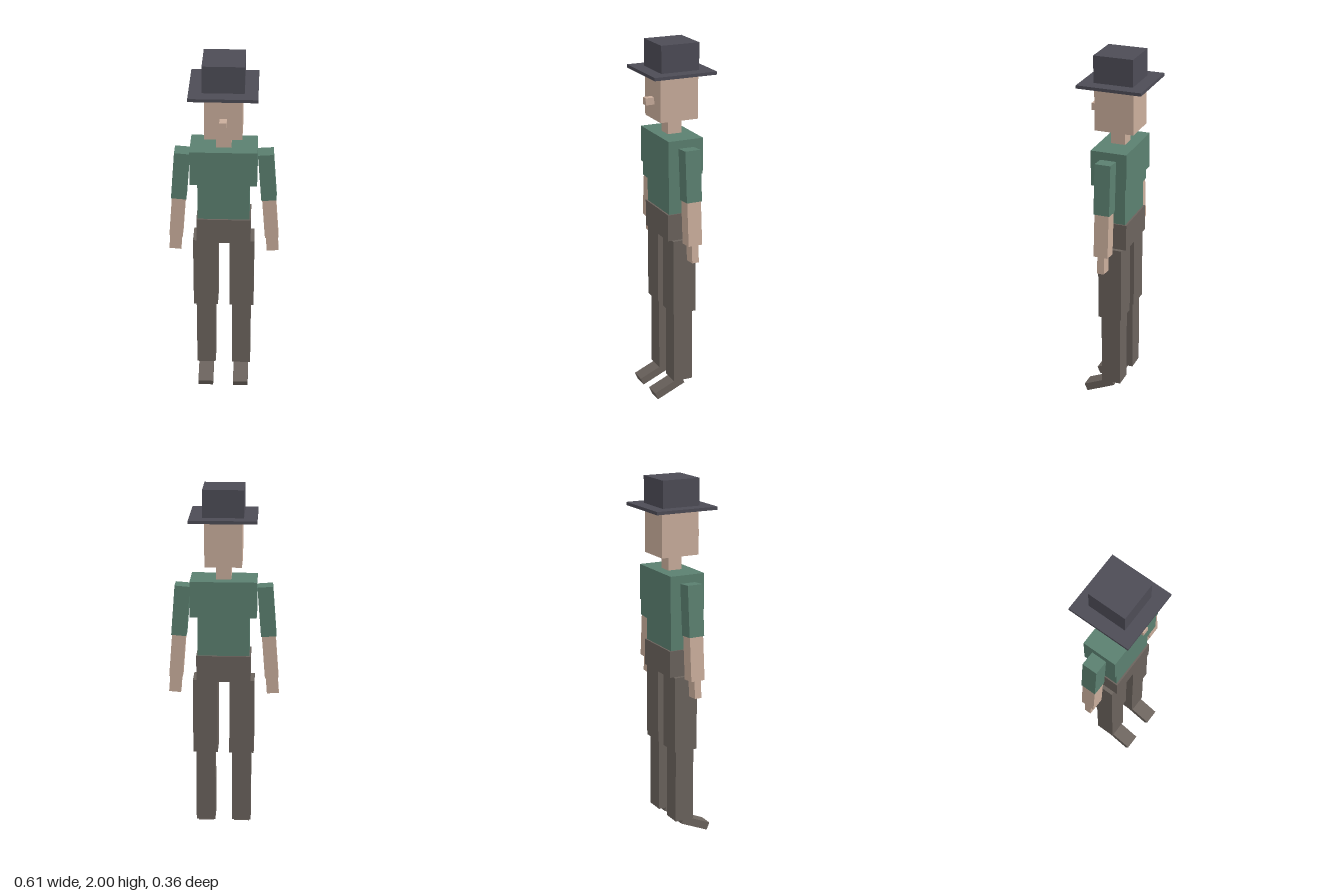
import * as THREE from 'three';

const flat = (name, color) => {
  const m = new THREE.MeshStandardMaterial({ color });
  m.name = name;
  return m;
};

export function createModel() {
  const skin = flat('skin', 0xcaae9c);
  const shirt = flat('shirt green', 0x5b8070);
  const trousers = flat('trouser brown', 0x6b635d);
  const felt = flat('hat grey', 0x4d4c56);

  const model = new THREE.Group();
  model.name = 'blockMan';

  // Box spanning y0..y1, centred on x, z
  const block = (parent, name, material, w, d, y0, y1, x = 0, z = 0) => {
    const mesh = new THREE.Mesh(new THREE.BoxGeometry(w, y1 - y0, d), material);
    mesh.name = name;
    mesh.position.set(x, (y0 + y1) / 2, z);
    parent.add(mesh);
    return mesh;
  };

  // Hat, head and neck
  block(model, 'hatCrown', felt, 0.218, 0.218, 1.853, 2);
  block(model, 'hatBrim', felt, 0.358, 0.358, 1.836, 1.853);
  block(model, 'head', skin, 0.198, 0.218, 1.588, 1.836);
  block(model, 'nose', skin, 0.038, 0.05, 1.67, 1.708, 0, 0.133);
  block(model, 'neck', skin, 0.08, 0.08, 1.505, 1.588);

  // Torso
  block(model, 'chest', shirt, 0.358, 0.2, 1.308, 1.505);
  block(model, 'waist', shirt, 0.28, 0.158, 1.087, 1.308);
  block(model, 'hips', trousers, 0.294, 0.177, 0.94, 1.087);

  for (const [side, s] of [['left', 1], ['right', -1]]) {
    // Arm hangs from the shoulder, tilted slightly outwards
    const arm = new THREE.Group();
    arm.name = side + 'Arm';
    arm.position.set(s * 0.222, 1.465, 0);
    arm.rotation.z = s * THREE.MathUtils.degToRad(4.5);
    block(arm, side + 'UpperArm', shirt, 0.083, 0.088, -0.278, 0);
    block(arm, side + 'Forearm', skin, 0.074, 0.08, -0.517, -0.278);
    block(arm, side + 'Hand', skin, 0.066, 0.039, -0.613, -0.517);
    model.add(arm);

    // Leg with a foot sloping down to the toes
    const leg = new THREE.Group();
    leg.name = side + 'Leg';
    leg.position.x = s * 0.1;
    block(leg, side + 'Thigh', trousers, 0.136, 0.134, 0.515, 0.94);
    block(leg, side + 'Shin', trousers, 0.106, 0.11, 0.097, 0.515);
    const foot = block(leg, side + 'Foot', trousers, 0.085, 0.178, 0.0345, 0.0785, 0, 0.077);
    foot.rotation.x = THREE.MathUtils.degToRad(23.5);
    model.add(leg);
  }
  return model;
}
